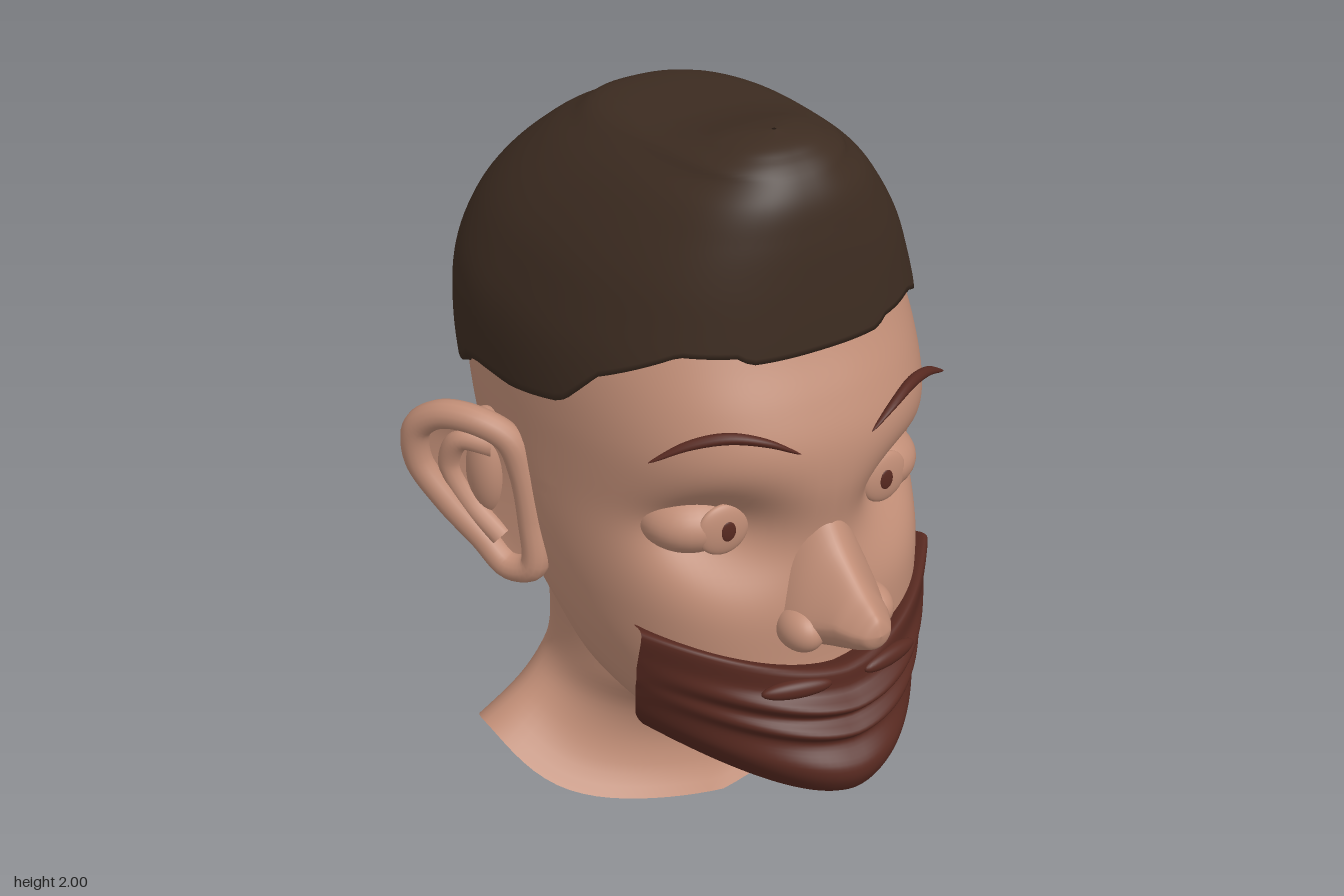
import * as THREE from 'three';

const mat = (name, color) => {
  const m = new THREE.MeshStandardMaterial({ color, side: THREE.DoubleSide });
  m.name = name;
  return m;
};

// Smooth surface from a rule fn(u, v) -> [x, y, z]; u may wrap around
function grid(nu, nv, closed, fn) {
  const pos = [], idx = [], cols = closed ? nu : nu + 1;
  for (let j = 0; j <= nv; j++)
    for (let i = 0; i < cols; i++) pos.push(...fn(i / nu, j / nv));
  for (let j = 0; j < nv; j++)
    for (let i = 0; i < nu; i++) {
      const k = (i + 1) % cols, a = j * cols + i, b = j * cols + k;
      idx.push(a, b, b + cols, a, b + cols, a + cols);
    }
  const g = new THREE.BufferGeometry();
  g.setAttribute('position', new THREE.Float32BufferAttribute(pos, 3));
  g.setIndex(idx);
  g.computeVertexNormals();
  return g;
}

// Interpolates the rows of a table by their first column
function sampler(rows, Kind = THREE.CubicInterpolant) {
  const n = rows[0].length - 1;
  const f = new Kind(rows.map(r => r[0]), rows.flatMap(r => r.slice(1)), n, new Float32Array(n));
  return t => Array.from(f.evaluate(t));
}

// Point on a rounded horizontal section; angle 0 is the front
function section([w, zf, zb, zc], a, n) {
  const s = Math.sin(a), c = Math.cos(a), p = 2 / n;
  const x = w * Math.sign(s) * Math.abs(s) ** p;
  const z = zc + (c > 0 ? zf - zc : zc - zb) * Math.sign(c) * Math.abs(c) ** p;
  return [x, z];
}

// Mirrored copy across x = 0
function mirrored(geo) {
  const g = geo.clone().scale(-1, 1, 1), a = g.index.array;
  for (let i = 0; i < a.length; i += 3) [a[i], a[i + 1]] = [a[i + 1], a[i]];
  return g;
}

const vec = p => new THREE.Vector3(...p);
const ball = (r, sx, sy, sz, yaw, p) =>
  new THREE.SphereGeometry(r, 32, 24).scale(sx, sy, sz).rotateY(yaw).translate(...p);

export function createModel() {
  const model = new THREE.Group();
  const skin = mat('skin', 0xc08d76), hairMat = mat('hair brown', 0x3d2c21), beardMat = mat('beard red brown', 0x572920);
  const add = (name, geo, m) => {
    const mesh = new THREE.Mesh(geo, m);
    mesh.name = name;
    model.add(mesh);
  };
  const pair = (name, geo, m) => {
    add('left' + name, geo, m);
    add('right' + name, mirrored(geo), m);
  };

  // Face and skull: height, half width, front, back, widest z
  const headAt = sampler([
    [0.4, 0.14, 0.4, -0.1, 0.18], [0.42, 0.23, 0.5, -0.12, 0.14], [0.47, 0.31, 0.555, -0.15, 0.1],
    [0.55, 0.375, 0.555, -0.2, 0.05], [0.7, 0.435, 0.535, -0.36, 0], [0.85, 0.472, 0.53, -0.545, -0.08],
    [1.0, 0.493, 0.515, -0.65, -0.14], [1.2, 0.503, 0.535, -0.71, -0.2], [1.3, 0.504, 0.525, -0.72, -0.2],
    [1.4, 0.5, 0.487, -0.715, -0.2], [1.5, 0.485, 0.435, -0.7, -0.2], [1.62, 0.44, 0.38, -0.66, -0.2]]);
  add('head', grid(128, 80, true, (u, v) => {
    const y = 0.4 + 1.22 * v, a = u * Math.PI * 2;
    let [x, z] = section(headAt(y), a, 2.25 + 0.25 * Math.cos(a));
    // eye sockets
    if (z > 0) z -= 0.135 * Math.exp(-(((Math.abs(x) - 0.26) / 0.14) ** 2) - ((y - 1.08) / 0.115) ** 2);
    return [x, y, z];
  }), skin);

  // Neck flaring to a wavy rim: height, half width, front, back, widest z, rim influence
  const neckAt = sampler([
    [0.12, 0.53, 0.04, -0.57, -0.3, 1], [0.17, 0.46, 0.005, -0.555, -0.3, 0.9], [0.24, 0.4, -0.01, -0.525, -0.3, 0.6],
    [0.32, 0.355, 0.03, -0.49, -0.3, 0.3], [0.42, 0.333, 0.14, -0.465, -0.27, 0], [0.6, 0.345, 0.14, -0.445, -0.23, 0],
    [0.72, 0.38, 0.12, -0.465, -0.19, 0], [0.86, 0.44, 0.1, -0.56, -0.13, 0], [0.97, 0.46, 0.1, -0.615, -0.13, 0]]);
  const neckPoint = (a, h) => {
    const [w, zf, zb, zc, k] = neckAt(h);
    const [x, z] = section([w, zf, zb, zc], a, 2);
    const low = Math.cos(a) > 0 ? 0.005 : 0.08, s = Math.abs(Math.sin(a));
    const rim = low + (0.22 - low) * (0.4 * s + 0.6 * s ** 8);
    return [x, h + (rim - 0.12) * k, z];
  };
  add('neck', grid(80, 40, true, (u, v) => neckPoint(u * Math.PI * 2, 0.12 + 0.85 * v)), skin);
  add('neckBase', grid(80, 10, true, (u, v) => {
    const p = neckPoint(u * Math.PI * 2, 0.12);
    return [p[0] * v, 0.1 + (p[1] - 0.1) * v ** 1.6, -0.25 + (p[2] + 0.25) * v];
  }), skin);

  // Hair cap from an uneven hairline up to the quiff
  const hairAt = sampler([
    [1.15, 0.508, 0.46, -0.705, -0.2], [1.35, 0.52, 0.46, -0.73, -0.2], [1.5, 0.507, 0.455, -0.725, -0.2],
    [1.6, 0.475, 0.45, -0.7, -0.18], [1.7, 0.43, 0.443, -0.64, -0.14], [1.8, 0.36, 0.432, -0.54, -0.08],
    [1.88, 0.285, 0.415, -0.42, 0], [1.93, 0.22, 0.388, -0.27, 0.06], [1.945, 0.2, 0.375, -0.04, 0.12],
    [1.965, 0.155, 0.352, 0.08, 0.18], [1.99, 0.08, 0.305, 0.18, 0.23], [2.0, 0.005, 0.255, 0.245, 0.25]]);
  const hairline = sampler([
    [0, 1.52], [0.09, 1.52], [0.11, 1.54], [0.2, 1.545], [0.32, 1.46], [0.38, 1.36], [0.47, 1.32], [0.53, 1.31],
    [0.57, 1.29], [0.6, 1.25], [0.7, 1.22], [0.8, 1.24], [0.84, 1.16], [0.9, 1.19], [1, 1.18]], THREE.LinearInterpolant);
  add('hair', grid(144, 56, true, (u, v) => {
    const low = hairline(u < 0.5 ? u * 2 : 2 - u * 2)[0];
    const t = Math.max(0, (v * 56 - 1) / 55);
    const y = low + (2 - low) * Math.sin(t * Math.PI / 2);
    const [x, z] = section(hairAt(y), u * Math.PI * 2, 2.45);
    const tuck = v === 0 ? 0.95 : 1; // rolled lower edge
    return [x * tuck, y, z * tuck];
  }), hairMat);

  // Nose, lofted forward: z, half width, top, bottom
  const noseAt = sampler([
    [0.4, 0.165, 1.2, 0.75], [0.5, 0.145, 1.11, 0.765], [0.55, 0.128, 1.045, 0.775], [0.6, 0.1, 1.0, 0.79],
    [0.66, 0.072, 0.955, 0.81], [0.7, 0.05, 0.93, 0.83], [0.722, 0.028, 0.91, 0.85], [0.73, 0.002, 0.882, 0.878]]);
  add('nose', grid(48, 28, true, (u, v) => {
    const z = 0.4 + 0.33 * Math.sin(v * Math.PI / 2), a = u * Math.PI * 2;
    const [w, top, bottom] = noseAt(z), s = Math.sin(a);
    const mid = bottom + Math.min(0.08, (top - bottom) / 2); // wide base, slim bridge
    const narrow = 1 - 0.45 * Math.max(0, s);
    return [w * Math.cos(a) * narrow, mid + (s > 0 ? top - mid : mid - bottom) * s, z];
  }), skin);
  pair('Nostril', ball(0.058, 0.95, 1, 1.3, 0, [0.1, 0.836, 0.535]), skin);

  // Eyes with lids, iris bulge and pupil
  pair('Eyeball', ball(0.138, 0.95, 0.64, 1, 0.3, [0.253, 1.08, 0.275]), skin);
  pair('Eyelid', new THREE.TorusGeometry(0.13, 0.013, 10, 48).scale(1, 0.67, 1)
    .rotateY(0.5).translate(0.253, 1.08, 0.33), skin);
  pair('Iris', ball(0.068, 1, 1, 0.3, 0.1, [0.232, 1.083, 0.4]), skin);
  pair('Pupil', ball(0.022, 0.9, 1.2, 0.2, 0.1, [0.228, 1.084, 0.419]), beardMat);

  // Tapered arched eyebrows
  const browPath = new THREE.CatmullRomCurve3(
    [[0.1, 1.31, 0.53], [0.18, 1.352, 0.505], [0.26, 1.368, 0.465], [0.34, 1.352, 0.42], [0.42, 1.31, 0.375]].map(vec));
  pair('Eyebrow', grid(12, 28, true, (u, v) => {
    const p = browPath.getPoint(v), a = u * Math.PI * 2, r = 0.001 + 0.013 * Math.sin(Math.PI * v) ** 0.7;
    return [p.x, p.y + r * Math.cos(a), p.z + 1.2 * r * Math.sin(a)];
  }), beardMat);

  // Beard with lips: centre height, edge height, half width, front z, edge z
  const beardAt = sampler([
    [0.70, 0.81, 0.41, 0.52, 0.28], [0.72, 0.815, 0.422, 0.595, 0.335], [0.665, 0.745, 0.425, 0.61, 0.325],
    [0.63, 0.705, 0.425, 0.65, 0.315], [0.595, 0.67, 0.423, 0.62, 0.31], [0.56, 0.64, 0.42, 0.655, 0.3],
    [0.525, 0.6, 0.415, 0.63, 0.29], [0.47, 0.54, 0.403, 0.67, 0.27], [0.42, 0.49, 0.375, 0.665, 0.24],
    [0.375, 0.435, 0.335, 0.62, 0.19], [0.355, 0.4, 0.3, 0.5, 0.1], [0.35, 0.37, 0.25, 0.33, 0.04],
    [0.33, 0.335, 0.14, 0.14, 0.02], [0.265, 0.29, 0.03, 0.01, 0]].map((r, i) => [i, ...r]));
  add('beard', grid(64, 78, false, (u, v) => {
    const [yc, ye, w, zf, ze] = beardAt(13 * (1 - v));
    const s = Math.sin((u - 0.5) * Math.PI), q = Math.abs(s);
    return [w * s, yc + (ye - yc) * q ** 1.4, ze + (zf - ze) * (1 - q ** 2.05)];
  }), beardMat);
  pair('Moustache', ball(0.09, 1, 0.27, 0.25, 0.25, [0.135, 0.695, 0.58]), beardMat);

  // Ears: rolled rim, inner fold and a dished shell
  const rim = new THREE.CatmullRomCurve3([
    [0.49, 0.82, -0.07], [0.525, 0.8, -0.13], [0.56, 0.86, -0.2], [0.62, 0.955, -0.27], [0.668, 1.06, -0.32],
    [0.672, 1.155, -0.31], [0.635, 1.208, -0.25], [0.575, 1.208, -0.17], [0.52, 1.165, -0.12],
    [0.495, 1.08, -0.1], [0.485, 0.95, -0.08]].map(vec), true);
  pair('EarRim', new THREE.TubeGeometry(rim, 80, 0.037, 14, true), skin);
  pair('EarShell', grid(60, 10, true, (u, v) => {
    const p = rim.getPoint(u), c = [0.545, 1.02, -0.205], k = Math.sqrt(v);
    return [c[0] + (p.x - c[0]) * v, c[1] + (p.y - c[1]) * k, c[2] + (p.z - c[2]) * v];
  }), skin);
  const fold = new THREE.CatmullRomCurve3(
    [[0.53, 0.87, -0.16], [0.575, 0.95, -0.235], [0.605, 1.05, -0.275], [0.59, 1.13, -0.24], [0.53, 1.12, -0.18]].map(vec));
  pair('EarFold', new THREE.TubeGeometry(fold, 32, 0.03, 12, false), skin);
  pair('EarRoot', ball(0.1, 0.6, 1.5, 0.8, 0.3, [0.52, 1.05, -0.235]), skin);

  return model;
}
